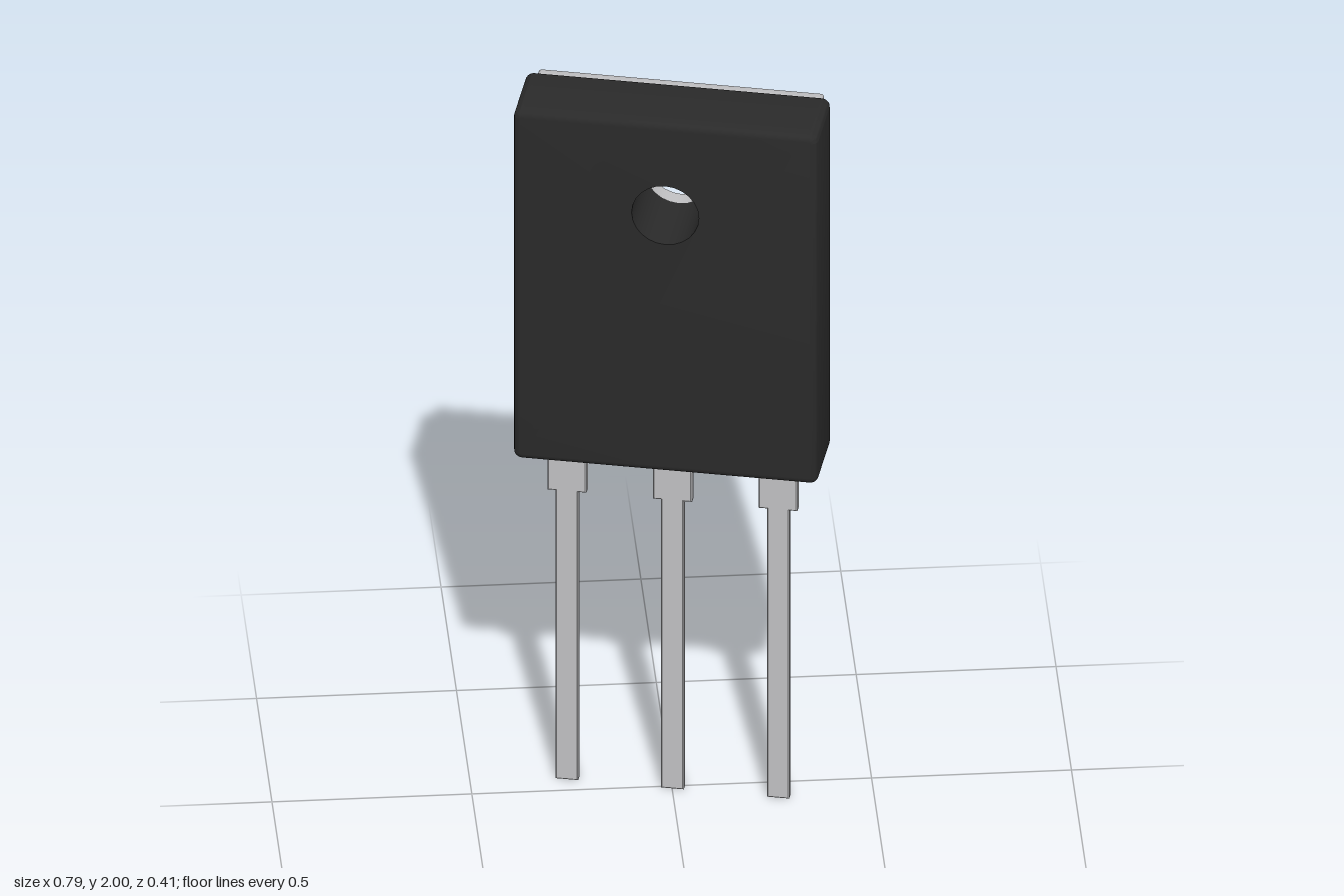
import * as THREE from 'three';
import { toCreasedNormals } from 'three/addons/utils/BufferGeometryUtils.js';

const plastic = new THREE.MeshStandardMaterial({ color: 0x2a2a2a });
plastic.name = 'black plastic';
const metal = new THREE.MeshStandardMaterial({ color: 0xc0c0c2 });
metal.name = 'tinned metal';

const HOLE_Y = 1.735, HOLE_R = 0.085;

function roundedRect(w, y0, y1, r) {
  const s = new THREE.Shape(), x = w / 2;
  s.moveTo(-x + r, y0);
  s.lineTo(x - r, y0);
  s.absarc(x - r, y0 + r, r, -Math.PI / 2, 0);
  s.lineTo(x, y1 - r);
  s.absarc(x - r, y1 - r, r, 0, Math.PI / 2);
  s.lineTo(-x + r, y1);
  s.absarc(-x + r, y1 - r, r, Math.PI / 2, Math.PI);
  s.lineTo(-x, y0 + r);
  s.absarc(-x + r, y0 + r, r, Math.PI, Math.PI * 1.5);
  return s;
}

// Extrude between z0 and z1 with softened outer edges inside the outline
function softExtrude(shape, z0, z1, bevel, segments) {
  const geo = new THREE.ExtrudeGeometry(shape, {
    depth: z1 - z0 - 2 * bevel, curveSegments: 12,
    bevelEnabled: true, bevelThickness: bevel, bevelSize: bevel,
    bevelOffset: -bevel, bevelSegments: segments,
  });
  return geo.translate(0, 0, z0 + bevel);
}

// Slab with a straight, sharp-edged mounting hole
function drilledSlab(name, material, w, y0, y1, z0, z1, r, bevel, segments) {
  const shape = roundedRect(w, y0, y1, r);
  const hole = new THREE.Path();
  hole.absarc(0, HOLE_Y, HOLE_R, 0, Math.PI * 2, true);
  shape.holes.push(hole);
  const geo = softExtrude(shape, z0, z1, bevel, segments);
  // Pull the bevelled hole rim back onto a plain cylinder
  const p = geo.attributes.position;
  for (let i = 0; i < p.count; i++) {
    const dx = p.getX(i), dy = p.getY(i) - HOLE_Y, d = Math.hypot(dx, dy);
    if (d < HOLE_R + 0.05) p.setXY(i, dx * HOLE_R / d, HOLE_Y + dy * HOLE_R / d);
  }
  const mesh = new THREE.Mesh(toCreasedNormals(geo, 0.6), material);
  mesh.name = name;
  return mesh;
}

// Flat pin with a wide shoulder at the top
function pin(name, x) {
  const a = 0.0285, b = 0.0495, step = 0.84, top = 1.0;
  const shape = new THREE.Shape([
    [-a, 0], [a, 0], [a, step], [b, step], [b, top], [-b, top], [-b, step], [-a, step],
  ].map(([px, py]) => new THREE.Vector2(px, py)));
  const geo = softExtrude(shape, -0.011, 0.015, 0.003, 1);
  const mesh = new THREE.Mesh(toCreasedNormals(geo, 0.6), metal);
  mesh.name = name;
  mesh.position.x = x;
  return mesh;
}

export function createModel() {
  const model = new THREE.Group();
  model.name = 'transistor';

  // The whole part stands turned about the vertical axis
  const turned = new THREE.Group();
  turned.name = 'package';
  turned.rotation.y = -14 * Math.PI / 180;
  turned.position.x = 0.004;
  model.add(turned);

  turned.add(drilledSlab('body', plastic, 0.77, 0.985, 2.0, -0.082, 0.121, 0.022, 0.018, 4));
  turned.add(drilledSlab('heatsinkPlate', metal, 0.722, 1.01, 1.98, -0.126, -0.082, 0.008, 0.005, 2));

  ['rightPin', 'middlePin', 'leftPin'].forEach((name, i) => turned.add(pin(name, (i - 1) * 0.267)));
  return model;
}
